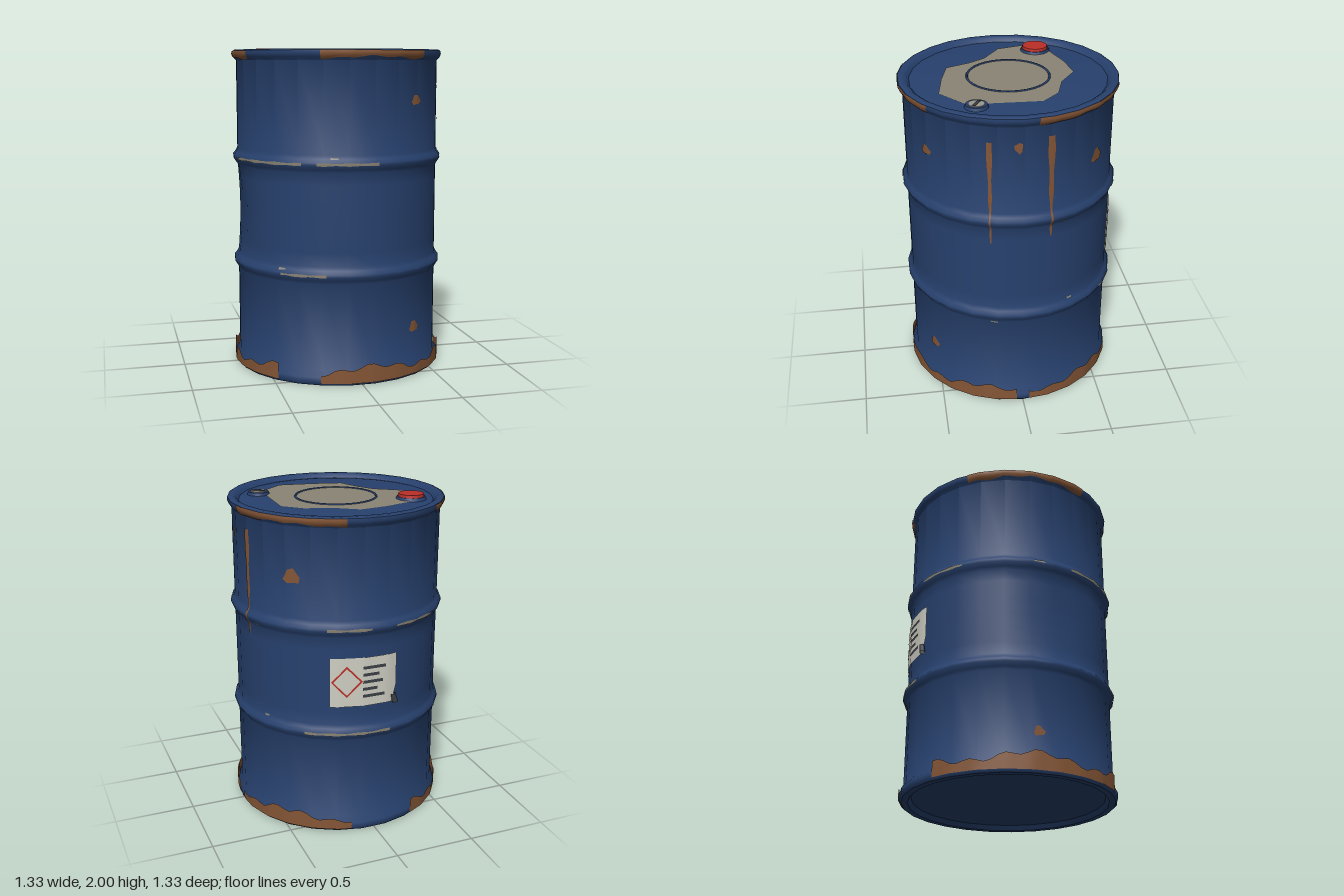
import * as THREE from 'three';
import { mergeVertices, toCreasedNormals } from 'three/addons/utils/BufferGeometryUtils.js';

const SIDES = 26, STEP = 360 / SIDES, RAD = Math.PI / 180;

// outer wall as [radius, height], from the foot to the top rim
const rib = y => [[0.638, y - 0.055], [0.648, y - 0.035], [0.664, y - 0.01],
  [0.664, y + 0.007], [0.648, y + 0.027], [0.638, y + 0.05]];
const WALL = [[0.65, 0], [0.662, 0.015], [0.662, 0.05], [0.638, 0.08], ...rib(0.67),
  ...[0.8, 0.9, 1, 1.1, 1.2].map(y => [0.638, y]), ...rib(1.33),
  [0.638, 1.925], [0.656, 1.945], [0.664, 1.965], [0.662, 1.983], [0.65, 1.99]];

function wallRadius(y) {
  for (let i = 1; i < WALL.length; i++) {
    const [r0, y0] = WALL[i - 1], [r1, y1] = WALL[i];
    if (y <= y1) return r0 + (r1 - r0) * Math.max(0, (y - y0) / (y1 - y0));
  }
  return WALL[WALL.length - 1][0];
}

// point on the faceted wall; deg runs from the front towards +x
function onWall(deg, y, off, radius) {
  const a = ((deg - 90) % STEP + STEP) % STEP - STEP / 2;
  const r = ((radius ?? wallRadius(y)) + off) * Math.cos(STEP / 2 * RAD) / Math.cos(a * RAD);
  return [r * Math.sin(deg * RAD), y, r * Math.cos(deg * RAD)];
}

// thin sheet lying on the wall, from a rule (u, v) -> [deg, y]
function sheet(nu, nv, rule, off = 0.004, radius) {
  const pos = [], idx = [];
  for (let j = 0; j <= nv; j++)
    for (let i = 0; i <= nu; i++) {
      const [d, y] = rule(i / nu, j / nv);
      pos.push(...onWall(d, y, off, radius));
      if (i < nu && j < nv) {
        const a = j * (nu + 1) + i, b = a + nu + 1;
        idx.push(a, a + 1, b + 1, a, b + 1, b);
      }
    }
  const g = new THREE.BufferGeometry();
  g.setAttribute('position', new THREE.Float32BufferAttribute(pos, 3));
  g.setIndex(idx);
  g.computeVertexNormals();
  return g;
}

export function createModel() {
  const model = new THREE.Group();
  const material = (name, color, side = THREE.DoubleSide) => {
    const m = new THREE.MeshStandardMaterial({ color, side });
    m.name = name;
    return m;
  };
  const blue = material('blue paint', 0x27416e, THREE.FrontSide);
  const rust = material('rust', 0x855636);
  const bare = material('worn metal', 0x8a8474);
  const red = material('red', 0xbb3028);
  const paper = material('label paper', 0xcfcfc4);
  const ink = material('dark ink', 0x3c4046);
  const silver = material('silver', 0x9a988f);
  const add = (name, geometry, mat, x = 0, y = 0, z = 0) => {
    const m = new THREE.Mesh(geometry, mat);
    m.name = name;
    m.position.set(x, y, z);
    model.add(m);
    return m;
  };
  const lerp = THREE.MathUtils.lerp;

  // drum shell with recessed bottom and lid, dented on the -x side
  const profile = [[0, 0.03], [0.59, 0.03], [0.61, 0], ...WALL,
    [0.625, 1.99], [0.61, 1.98], [0.595, 1.962], [0.57, 1.965], [0, 1.965]];
  let shell = new THREE.LatheGeometry(profile.map(p => new THREE.Vector2(...p)), SIDES, Math.PI / 2);
  const p = shell.attributes.position;
  for (let i = 0; i < p.count; i++) {
    const x = p.getX(i), y = p.getY(i), z = p.getZ(i);
    if (x >= 0 || y < 0.72 || y > 1.275) continue;
    const across = Math.atan2(z, -x) / RAD / 16;
    const k = 1 - 0.03 * Math.exp(-across * across) * Math.cos((y - 1) / 0.3 * Math.PI / 2) / 0.638;
    p.setXYZ(i, x * k, y, z * k);
  }
  shell.deleteAttribute('uv');
  shell.deleteAttribute('normal');
  shell = toCreasedNormals(mergeVertices(shell, 1e-4), 0.75);
  add('drumShell', shell, blue);

  // jagged rust around the foot
  const jag = d => Math.sin(d * 0.1 + 1) * 0.024 + Math.sin(d * 0.37) * 0.014;
  for (const [a, b] of [[-22, 86.5], [93.5, 167], [204, 314]])
    add('footRust', sheet(Math.round((b - a) / 3.5), 2, (u, v) => {
      const d = lerp(a, b, u);
      return [d, lerp(0.015, 0.095 + jag(d), v)];
    }, 0.003, 0.664), rust);

  // rust under the top rim
  for (const [a, b] of [[-22, 38], [97, 164], [221, 291]])
    add('rimRust', sheet(Math.round((b - a) / 3.5), 4, (u, v) => {
      const d = lerp(a, b, u);
      return [d, lerp(1.94 + jag(d) * 0.35, 1.983, v)];
    }), rust);

  // rust chips: degrees, height, half width, half height
  for (const [d, y, w, h] of [[34, 1.69, 3.6, 0.03], [34, 0.305, 3.6, 0.035], [87, 1.8, 2.2, 0.033],
    [135, 1.63, 4.5, 0.045], [260, 0.25, 3, 0.03]])
    add('rustChip', sheet(2, 9, (u, v) => {
      const a = v * 2 * Math.PI, s = u * (1 + 0.22 * Math.sin(a * 3 + d));
      return [d + w * s * Math.cos(a), y + h * s * Math.sin(a)];
    }), rust);

  // rust drips running down over the upper rib
  for (const [d, low, high, w] of [[72, 1.18, 1.83, 1.5], [104, 1.21, 1.855, 2]])
    add('rustDrip', sheet(2, 32, (u, v) => [
      d + (u - 0.5) * 2 * w * (0.2 + 0.8 * v + 0.12 * Math.sin(v * 17)) + 0.5 * (1 - v),
      lerp(low, high, v)]), rust);

  // scratches along the ribs: start, end, height, thickness
  for (const [a, b, y, h] of [[-80, -32, 1.327, 0.02], [-24, 8, 1.327, 0.02], [-44, -19, 0.668, 0.018],
    [142, 188, 0.668, 0.02], [154, 177, 1.327, 0.02], [191, 219, 1.327, 0.02], [258, 264, 1.335, 0.02],
    [-17, -13, 1.36, 0.014], [-46, -42, 0.697, 0.014], [109, 113, 1.29, 0.012],
    [116, 119, 0.72, 0.012], [72, 76, 0.615, 0.012]])
    add('ribScratch', sheet(Math.ceil((b - a) / 3.5), 2, (u, v) => {
      const d = lerp(a, b, u), taper = 0.45 + 0.55 * Math.abs(Math.sin(d * 0.23));
      return [d, y + (v - 0.5) * h * taper];
    }), bare);

  // paper label on the back, with a diamond and rows of marks
  add('label', sheet(14, 3, (u, v) => [
    lerp(155, 192.5, u) - (v === 0 && u === 1 ? 2.5 : 0), lerp(0.84, 1.15, v)], 0.008), paper);
  const corners = [[164.2, 1.1], [155.8, 1], [164.2, 0.9], [172.6, 1]];
  const inner = corners.map(([d, y]) => [lerp(164.2, d, 0.85), lerp(1, y, 0.85)]);
  corners.forEach((c, i) => {
    const n = (i + 1) % 4;
    add('labelDiamond', sheet(4, 1, (u, v) => [0, 1].map(k =>
      lerp(lerp(c[k], corners[n][k], u), lerp(inner[i][k], inner[n][k], u), v)), 0.011), red);
  });
  [185.5, 182, 184, 181, 185].forEach((end, i) => {
    const y = 1.085 - i * 0.045;
    add('labelMark', sheet(5, 1, (u, v) => [lerp(172.8, end, u), y + (v - 0.5) * 0.019], 0.011), ink);
  });
  // curled lower corner of the label
  const curl = add('labelCurl', new THREE.CylinderGeometry(0.014, 0.018, 0.055, 10, 1, true), ink,
    ...onWall(190.8, 0.865, 0.018));
  curl.rotation.z = -0.25;

  // worn patch and pressed ring on the lid
  const worn = new THREE.Shape([[0, -0.4], [0.14, -0.3], [0.3, -0.25], [0.405, -0.145], [0.4, 0],
    [0.395, 0.14], [0.37, 0.31], [0.215, 0.435], [0, 0.4], [-0.175, 0.355], [-0.235, 0.21],
    [-0.3, 0.107], [-0.45, 0], [-0.49, -0.165], [-0.37, -0.315], [-0.18, -0.375]]
    .map(([x, z]) => new THREE.Vector2(x, -z)));
  add('lidWear', new THREE.ShapeGeometry(worn).rotateX(-Math.PI / 2), bare, 0, 1.969, 0);
  add('lidRing', new THREE.TorusGeometry(0.248, 0.007, 6, 40).rotateX(Math.PI / 2), blue, 0, 1.969, 0);

  // large red cap and small slotted silver plug, each in a blue collar
  const plug = (name, x, z, collar, cap, top, mat) => {
    add(name + 'Collar', new THREE.CylinderGeometry(collar * 0.9, collar, 0.02, 24), blue, x, 1.973, z);
    add(name, new THREE.CylinderGeometry(cap * 0.94, cap, top - 1.97, 24), mat, x, (top + 1.97) / 2, z);
  };
  plug('redCap', -0.4, -0.23, 0.095, 0.082, 2, red);
  plug('silverPlug', 0.42, 0.24, 0.07, 0.05, 1.987, silver);
  add('plugSlot', new THREE.BoxGeometry(0.078, 0.004, 0.018), ink, 0.42, 1.988, 0.24).rotation.y = -0.55;

  return model;
}
